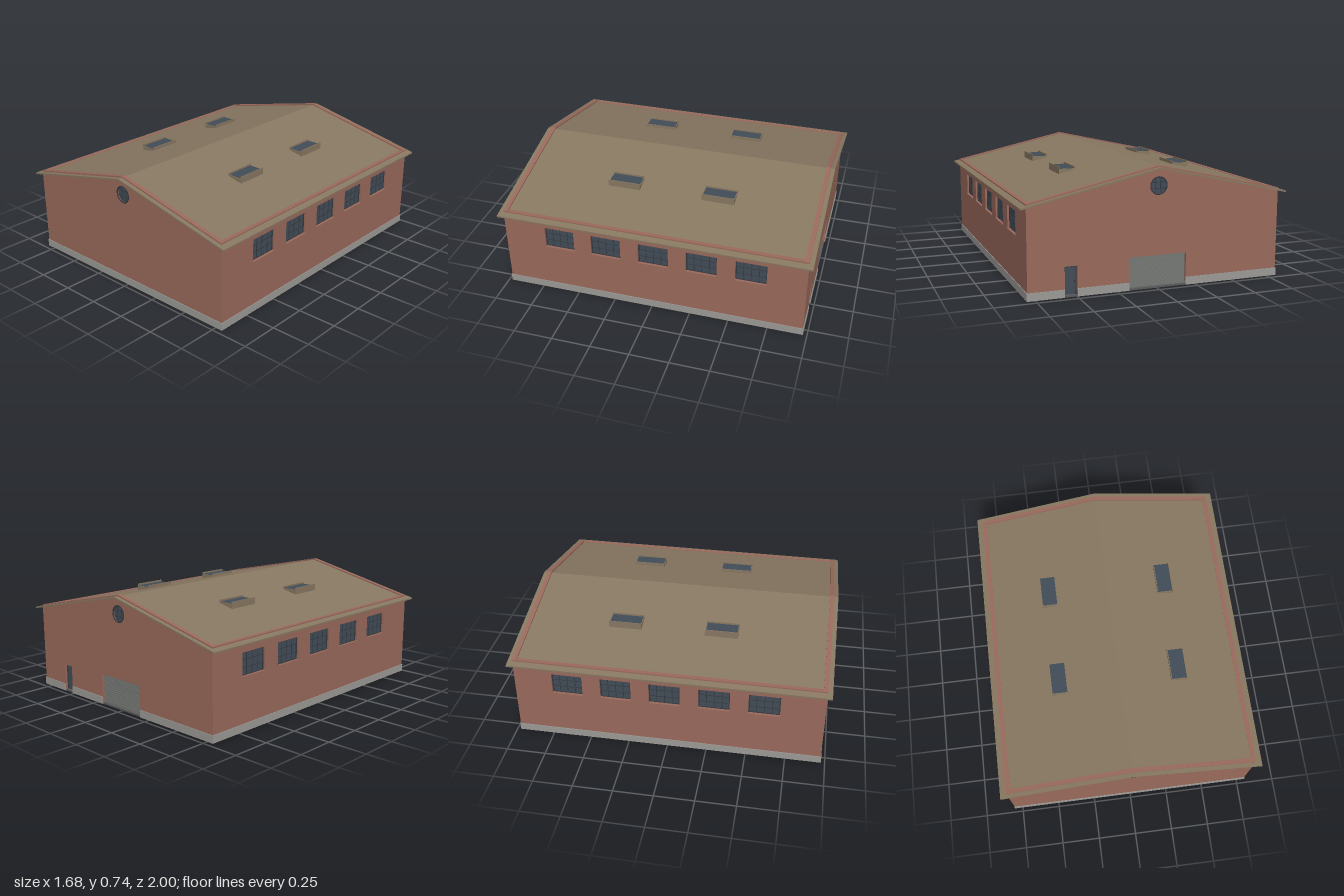
import * as THREE from 'three';

const mat = (color, side = THREE.FrontSide) =>
  new THREE.MeshStandardMaterial({ color, side });

// Main dimensions
const HX = 0.8, HZ = 0.972, T = 0.027, BASE = 0.005;
const RIDGE = 0.73, SLOPE = 0.221;
const roofY = (x) => RIDGE - SLOPE * Math.abs(x);
const WIN = { w: 0.194, y0: 0.337, y1: 0.481, z: [-0.632, -0.323, -0.015, 0.295, 0.603] };
const ROUND = { y: 0.62, r: 0.054 };
const DOORS = [
  { name: 'garageDoor', x0: -0.182, x1: 0.182, h: 0.205 },
  { name: 'sideDoor', x0: 0.502, x1: 0.578, h: 0.187 },
];

export function createModel() {
  const model = new THREE.Group();
  const brick = mat(0x9a6a5c), roofMat = mat(0x887862), stone = mat(0x9c9b97);
  const glass = mat(0x424d58), frame = mat(0x353b41), floorMat = mat(0x5c5c5c);
  const doorMat = mat(0x747874), dark = mat(0x1c1c1c);

  const add = (parent, name, geo, material, x = 0, y = 0, z = 0) => {
    const m = new THREE.Mesh(geo, material);
    m.name = name;
    m.position.set(x, y, z);
    parent.add(m);
    return m;
  };
  // Box given by its minimum and maximum corners
  const box = (parent, name, material, x0, x1, y0, y1, z0, z1) =>
    add(parent, name, new THREE.BoxGeometry(x1 - x0, y1 - y0, z1 - z0), material,
      (x0 + x1) / 2, (y0 + y1) / 2, (z0 + z1) / 2);
  const extrude = (shape, depth) =>
    new THREE.ExtrudeGeometry(shape, { depth, bevelEnabled: false, curveSegments: 24 });
  const polygon = (pts) => new THREE.Shape(pts.map(([x, y]) => new THREE.Vector2(x, y)));

  // Gable walls, standing a little above the roof; the back one has door notches
  const gable = (doors) => {
    const bottom = [[-HX, BASE]];
    for (const d of doors) bottom.push([d.x0, BASE], [d.x0, d.h], [d.x1, d.h], [d.x1, BASE]);
    const s = polygon([...bottom, [HX, BASE], [HX, roofY(HX) + 0.009],
      [0, RIDGE + 0.009], [-HX, roofY(HX) + 0.009]]);
    s.holes.push(new THREE.Path().absarc(0, ROUND.y, ROUND.r, 0, Math.PI * 2, true));
    return extrude(s, T);
  };
  add(model, 'frontWall', gable([]), brick, 0, 0, HZ - T);
  add(model, 'backWall', gable(DOORS), brick, 0, 0, -HZ);

  // Side walls with window openings
  const sideShape = polygon([[-HZ + T, BASE], [HZ - T, BASE], [HZ - T, 0.561], [-HZ + T, 0.561]]);
  for (const z of WIN.z) {
    const a = -z - WIN.w / 2, b = -z + WIN.w / 2;
    sideShape.holes.push(polygon([[a, WIN.y0], [a, WIN.y1], [b, WIN.y1], [b, WIN.y0]]));
  }
  const sideGeo = extrude(sideShape, T).rotateY(Math.PI / 2);
  add(model, 'leftWall', sideGeo, brick, HX - T);
  add(model, 'rightWall', sideGeo, brick, -HX);

  // Barred windows with sills, set back in the side walls
  const windowAt = (sx, z) => {
    const g = new THREE.Group();
    g.name = 'sideWindow';
    const h = WIN.y1 - WIN.y0, f = 0.007, b = 0.004;
    add(g, 'glass', new THREE.BoxGeometry(0.004, h, WIN.w), glass);
    for (const s of [-1, 1]) {
      add(g, 'frameRail', new THREE.BoxGeometry(0.012, f, WIN.w), frame, 0, s * (h - f) / 2, 0);
      add(g, 'frameStile', new THREE.BoxGeometry(0.012, h, f), frame, 0, 0, s * (WIN.w - f) / 2);
    }
    for (let i = 1; i < 4; i++)
      add(g, 'verticalBar', new THREE.BoxGeometry(0.008, h, b), frame, 0, 0, WIN.w * (i / 4 - 0.5));
    for (let i = 1; i < 3; i++)
      add(g, 'horizontalBar', new THREE.BoxGeometry(0.008, b, WIN.w), frame, 0, h * (i / 3 - 0.5), 0);
    add(g, 'sill', new THREE.BoxGeometry(0.022, 0.005, WIN.w), brick, sx * 0.012, -h / 2, 0);
    g.position.set(sx * (HX - 0.018), (WIN.y0 + WIN.y1) / 2, z);
    model.add(g);
  };
  for (const sx of [-1, 1]) for (const z of WIN.z) windowAt(sx, z);

  // Round gable windows
  for (const sz of [-1, 1]) {
    const g = new THREE.Group();
    g.name = 'roundWindow';
    add(g, 'glass', new THREE.CylinderGeometry(ROUND.r, ROUND.r, 0.004, 32).rotateX(Math.PI / 2), glass);
    add(g, 'ring', new THREE.TorusGeometry(ROUND.r - 0.002, 0.004, 8, 40), frame, 0, 0, sz * 0.012);
    for (const o of [-0.018, 0.018]) {
      const len = 2 * Math.sqrt(ROUND.r ** 2 - o ** 2);
      add(g, 'verticalBar', new THREE.BoxGeometry(0.004, len, 0.008), frame, o, 0, 0);
      add(g, 'horizontalBar', new THREE.BoxGeometry(len, 0.004, 0.008), frame, 0, o, 0);
    }
    g.position.set(0, ROUND.y, sz * (HZ - 0.014));
    model.add(g);
  }

  // Thin pitched roof
  const E = 0.84, RT = 0.01;
  const roof = polygon([[-E, roofY(E) - RT], [0, RIDGE - RT], [E, roofY(E) - RT],
    [E, roofY(E)], [0, RIDGE], [-E, roofY(E)]]);
  add(model, 'roof', extrude(roof, 2), roofMat, 0, 0, -1);

  // Skylights: a curb with raised lips and a glass top
  for (const sx of [-1, 1]) for (const cz of [-0.332, 0.287]) {
    const g = new THREE.Group();
    g.name = 'skylight';
    const x = 0.389, w = 0.053, d = 0.105, e = 0.005;
    box(g, 'curb', roofMat, x - w, x + w, 0.625, 0.664, -d, d);
    box(g, 'glass', glass, x - w + e, x + w - e, 0.655, 0.6655, -d + e, d - e);
    for (const s of [-1, 1]) {
      const lx = x + s * (w - e / 2);
      box(g, 'lip', roofMat, lx - e / 2, lx + e / 2, 0.63, 0.676, -d, d);
    }
    g.position.z = cz;
    if (sx < 0) g.rotation.y = Math.PI;
    model.add(g);
  }

  // Stone plinth, interrupted at the doors
  const P = 0.004, PH = 0.053;
  box(model, 'frontPlinth', stone, -HX - P, HX + P, BASE, PH, HZ - T, HZ + P);
  for (const s of [-1, 1])
    box(model, 'sidePlinth', stone, s > 0 ? HX - T : -HX - P, s > 0 ? HX + P : -HX + T,
      BASE, PH, -HZ - P, HZ - T);
  let from = -HX + T;
  for (const to of [...DOORS, { x0: HX - T, x1: 0 }]) {
    box(model, 'backPlinth', stone, from, to.x0, BASE, PH, -HZ - P, -HZ + T);
    from = to.x1;
  }

  // Doors, set back in the rear wall
  for (const d of DOORS) {
    const g = new THREE.Group();
    g.name = d.name;
    const z = -HZ + 0.02;
    box(g, 'panel', d.name === 'garageDoor' ? doorMat : glass, d.x0, d.x1, BASE, d.h, z, z + 0.006);
    if (d.name === 'garageDoor') {
      const n = 14, step = (d.h - BASE) / n;
      for (let i = 0; i < n; i++)
        box(g, 'slat', doorMat, d.x0, d.x1, BASE + i * step, BASE + (i + 0.7) * step, z - 0.004, z);
    } else {
      box(g, 'rail', frame, d.x0, d.x1, d.h - 0.008, d.h, z - 0.005, z);
      for (const x of [d.x0, d.x1 - 0.006])
        box(g, 'stile', frame, x, x + 0.006, BASE, d.h, z - 0.005, z);
      box(g, 'handle', frame, d.x0 + 0.01, d.x0 + 0.015, 0.085, 0.1, z - 0.007, z);
    }
    model.add(g);
  }

  // Floor slab and the small hatch beneath it
  box(model, 'floor', floorMat, -HX + 0.002, HX - 0.002, BASE - 0.001, 0.015, -HZ + 0.002, HZ - 0.002);
  box(model, 'floorHatch', dark, -0.48, -0.41, 0, 0.012, 0.74, 0.83);

  return model;
}
